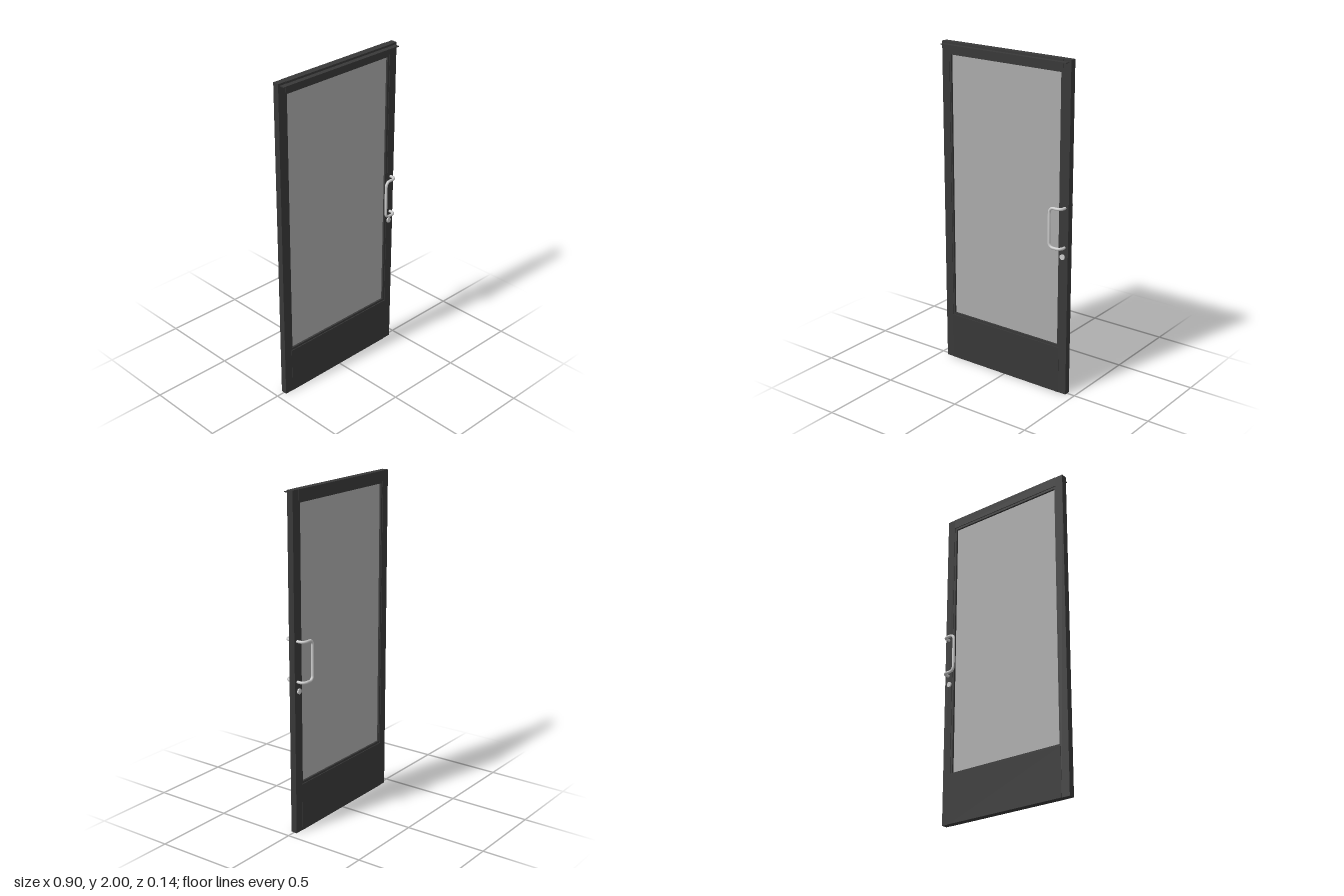
import * as THREE from 'three';

const frameMat = new THREE.MeshStandardMaterial({ color: 0x383838 });
const glassMat = new THREE.MeshStandardMaterial({ color: 0xaaaaaa });
const metalMat = new THREE.MeshStandardMaterial({ color: 0xcccccc });

// Box given by its limits on each axis
function box(name, [x0, x1], [y0, y1], [z0, z1], mat = frameMat) {
  const mesh = new THREE.Mesh(new THREE.BoxGeometry(x1 - x0, y1 - y0, z1 - z0), mat);
  mesh.position.set((x0 + x1) / 2, (y0 + y1) / 2, (z0 + z1) / 2);
  mesh.name = name;
  return mesh;
}

// Path through corner points, each inner corner rounded by a radius
function roundedPath(points, radius) {
  const path = new THREE.CurvePath();
  let from = points[0];
  for (let i = 1; i < points.length - 1; i++) {
    const p = points[i];
    const toward = (q) => p.clone().add(q.clone().sub(p).setLength(radius));
    const a = toward(points[i - 1]), b = toward(points[i + 1]);
    const k = 0.552;
    path.add(new THREE.LineCurve3(from, a));
    path.add(new THREE.CubicBezierCurve3(a, a.clone().lerp(p, k), b.clone().lerp(p, k), b));
    from = b;
  }
  path.add(new THREE.LineCurve3(from, points[points.length - 1]));
  return path;
}

// Offset pull: two arms leave the stile, bend inward and join a vertical grip
function pullHandle(name, zDoor, zGrip) {
  const top = 1.159, bottom = 0.922, xMount = 0.424, xGrip = 0.346;
  const v = (x, y, z) => new THREE.Vector3(x, y, z);
  const path = roundedPath([
    v(xMount, top, zDoor), v(xMount, top, zGrip), v(xGrip, top, zGrip),
    v(xGrip, bottom, zGrip), v(xMount, bottom, zGrip), v(xMount, bottom, zDoor),
  ], 0.028);
  const mesh = new THREE.Mesh(new THREE.TubeGeometry(path, 140, 0.0085, 14), metalMat);
  mesh.name = name;
  return mesh;
}

export function createModel() {
  const door = new THREE.Group();
  door.name = 'glazedDoor';

  const W = 0.448, inner = 0.396, stileZ = [-0.019, 0.019], railZ = [-0.021, 0.021];
  const railTop = 0.29, headBottom = 1.94;

  // Stiles and rails
  door.add(
    box('rightStile', [-W, -inner], [0, 2], stileZ),
    box('leftStile', [inner, W], [0, 2], stileZ),
    box('bottomRail', [-inner, inner], [0, railTop], railZ),
    box('topRail', [-inner, inner], [headBottom, 2], railZ),
  );

  // Glazing beads around the opening
  const gx0 = -0.386, gx1 = 0.382, gy0 = 0.304, gy1 = 1.926, beadZ = [-0.016, 0.016];
  door.add(
    box('rightBead', [-inner, gx0], [railTop, headBottom], beadZ),
    box('leftBead', [gx1, inner], [railTop, headBottom], beadZ),
    box('bottomBead', [gx0, gx1], [railTop, gy0], beadZ),
    box('topBead', [gx0, gx1], [gy1, headBottom], beadZ),
  );

  // Glass pane
  door.add(box('glassPane', [gx0, gx1], [gy0, gy1], [-0.004, 0.004], glassMat));

  // Thin drip ledge along the top of the front
  door.add(box('dripLedge', [-0.434, 0.434], [1.983, 1.988], [0.018, 0.05]));

  // Pull handles on both faces
  door.add(pullHandle('frontHandle', 0.015, 0.061), pullHandle('backHandle', -0.015, -0.0655));

  // Lock cylinder passing through the stile
  const lock = new THREE.Mesh(new THREE.CylinderGeometry(0.016, 0.016, 0.054, 24), metalMat);
  lock.rotation.x = Math.PI / 2;
  lock.position.set(0.413, 0.864, 0);
  lock.name = 'lockCylinder';
  door.add(lock);

  return door;
}
